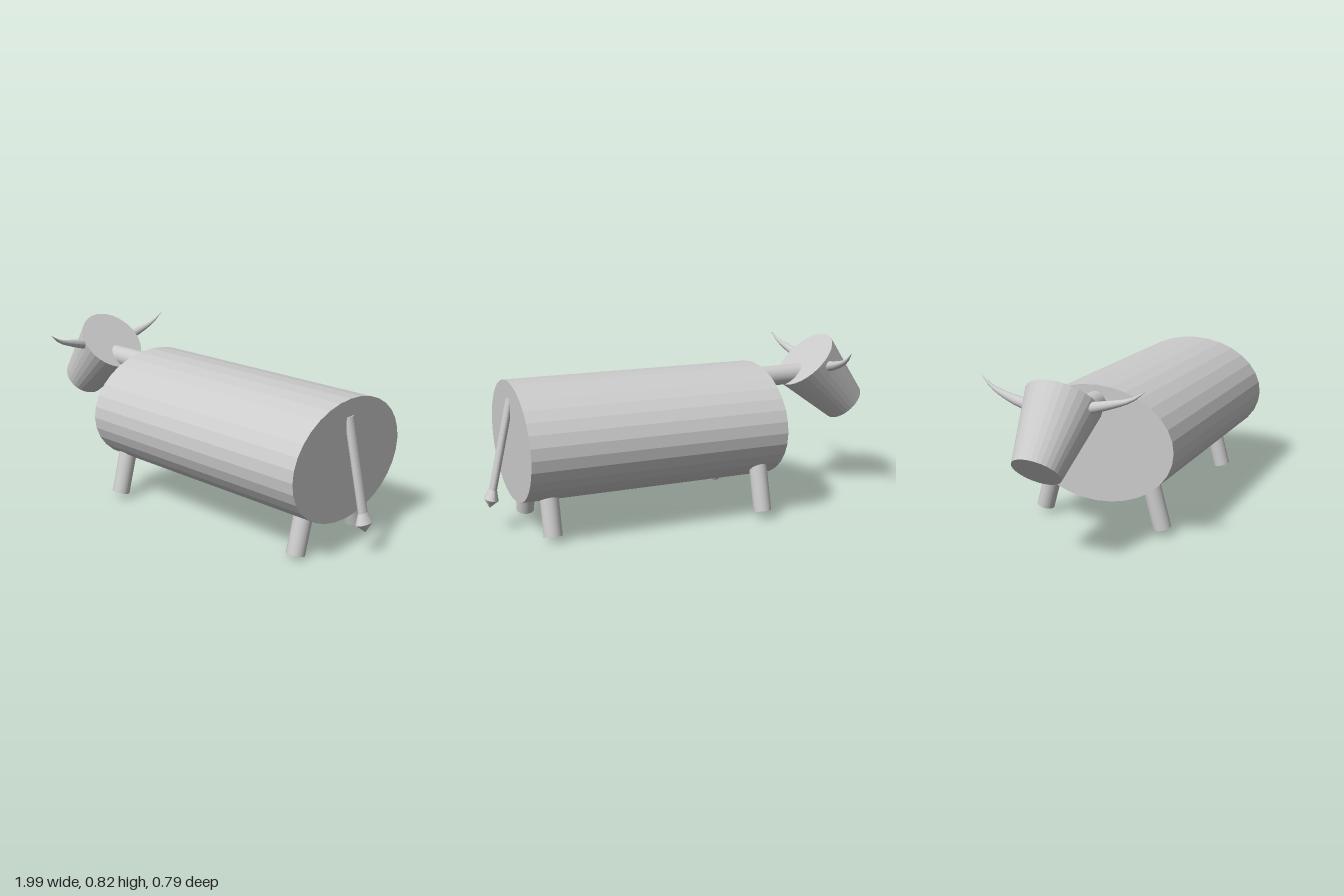
import * as THREE from 'three';

const flat = new THREE.MeshStandardMaterial({ color: 0xcccccc, flatShading: true });
const smooth = new THREE.MeshStandardMaterial({ color: 0xcccccc });
const UP = new THREE.Vector3(0, 1, 0);

// Round bar running from point a (radius ra) to point b (radius rb)
function bar(name, a, b, ra, rb, material, sides = 32) {
  const from = new THREE.Vector3(...a);
  const dir = new THREE.Vector3(...b).sub(from);
  const mesh = new THREE.Mesh(new THREE.CylinderGeometry(rb, ra, dir.length(), sides), material);
  mesh.name = name;
  mesh.position.copy(from).addScaledVector(dir, 0.5);
  mesh.quaternion.setFromUnitVectors(UP, dir.normalize());
  return mesh;
}

// Curved horn: a tube whose rings shrink towards the tip
function horn(name, points, radius) {
  const curve = new THREE.CatmullRomCurve3(points.map(p => new THREE.Vector3(...p)));
  const rings = 9, sides = 16;
  const geo = new THREE.TubeGeometry(curve, rings, radius, sides);
  const pos = geo.attributes.position, v = new THREE.Vector3();
  for (let i = 0; i <= rings; i++) {
    const centre = curve.getPointAt(i / rings);
    const s = 1 - Math.pow(i / rings, 1.3);
    for (let j = 0; j <= sides; j++) {
      const k = i * (sides + 1) + j;
      v.fromBufferAttribute(pos, k).sub(centre).multiplyScalar(s).add(centre);
      pos.setXYZ(k, v.x, v.y, v.z);
    }
  }
  geo.computeVertexNormals();
  const mesh = new THREE.Mesh(geo, smooth);
  mesh.name = name;
  return mesh;
}

export function createModel() {
  const model = new THREE.Group();
  model.name = 'cow';

  // Barrel body with an oval cross-section
  const barrel = new THREE.CylinderGeometry(1, 1, 1.24, 32);
  barrel.rotateZ(Math.PI / 2).scale(1, 0.278, 0.385);
  const body = new THREE.Mesh(barrel, flat);
  body.name = 'body';
  body.position.set(0.24, 0.427, 0);
  model.add(body);

  // Neck and tapered, tilted head
  model.add(bar('neck', [-0.7, 0.625, 0], [-0.36, 0.625, 0], 0.05, 0.05, smooth));
  model.add(bar('head', [-0.92, 0.455, 0], [-0.68, 0.698, 0], 0.11, 0.172, flat));

  // Horns
  model.add(horn('leftHorn',
    [[-0.725, 0.69, 0.12], [-0.715, 0.717, 0.235], [-0.705, 0.746, 0.33], [-0.69, 0.79, 0.395]], 0.027));
  model.add(horn('rightHorn',
    [[-0.735, 0.675, -0.12], [-0.73, 0.7, -0.225], [-0.72, 0.74, -0.33], [-0.707, 0.79, -0.395]], 0.027));

  // Splayed legs: foot centre, leaning inward to the body
  const feet = {
    frontLegNear: [-0.3, 0.031, 0.3],
    backLegNear: [0.753, 0.0135, 0.212],
    frontLegFar: [-0.277, 0.039, -0.334],
    backLegFar: [0.737, 0.026, -0.24],
  };
  for (const [name, [x, y, z]] of Object.entries(feet)) {
    const top = [x, y + 0.29, z - Math.sign(z) * 0.08];
    model.add(bar(name, [x, y, z], top, 0.043, 0.043, smooth));
  }

  // Tail with a pointed tuft, slightly flattened
  const profile = [[0, 0], [0.048, 0.042], [0.026, 0.09], [0.026, 0.52], [0, 0.52]];
  const tailGeo = new THREE.LatheGeometry(profile.map(p => new THREE.Vector2(...p)), 24);
  tailGeo.scale(0.69, 1, 1);
  const tail = new THREE.Mesh(tailGeo, flat);
  tail.name = 'tail';
  tail.position.set(0.97, 0.117, 0);
  tail.rotation.z = 0.226;
  model.add(tail);

  return model;
}
